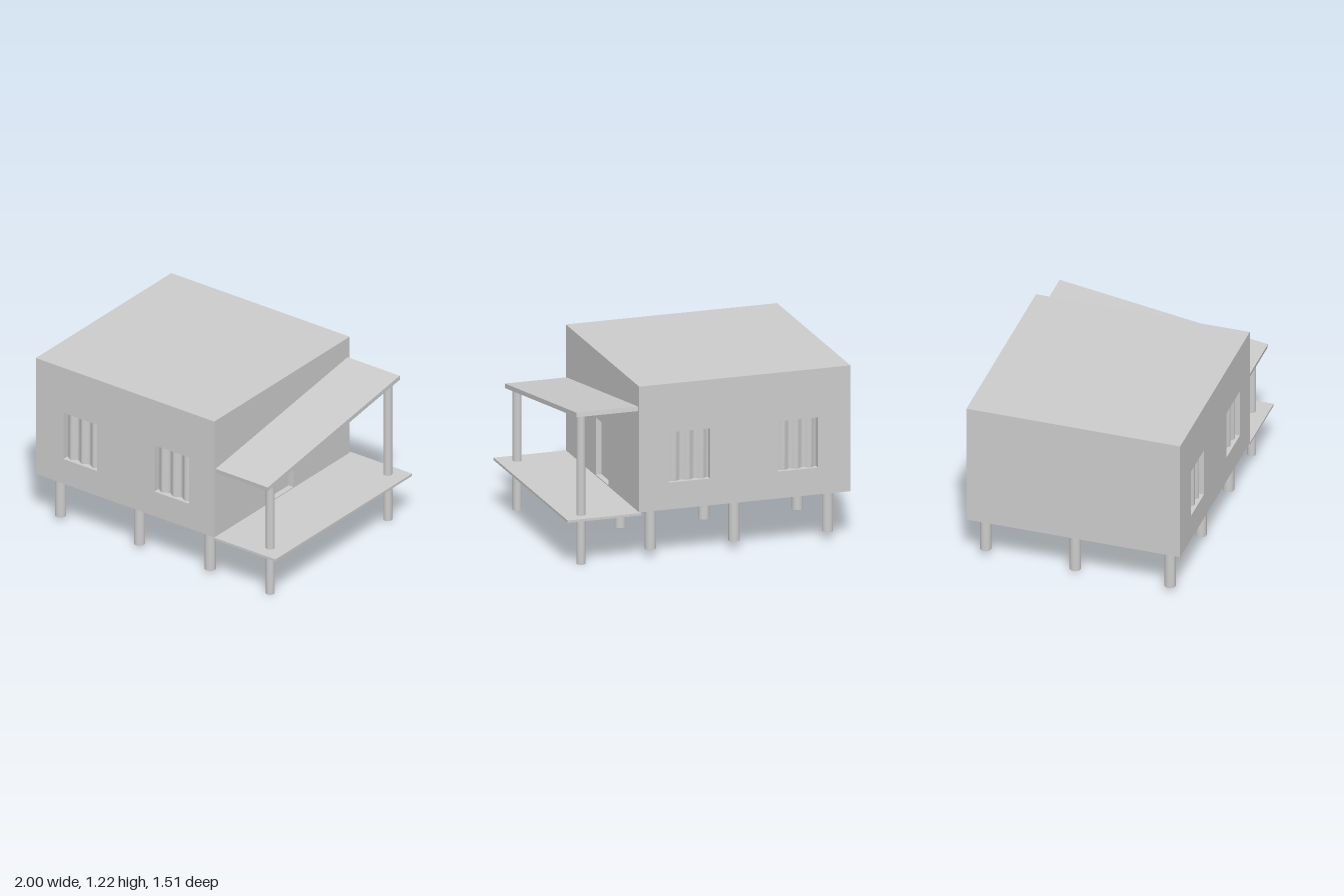
import * as THREE from 'three';

export function createModel() {
  const model = new THREE.Group();
  const grey = new THREE.MeshStandardMaterial({ color: 0xcccccc });
  const cloth = new THREE.MeshStandardMaterial({ color: 0xcccccc, side: THREE.DoubleSide });

  function add(name, geometry, x = 0, y = 0, z = 0, material = grey) {
    const mesh = new THREE.Mesh(geometry, material);
    mesh.name = name;
    mesh.position.set(x, y, z);
    model.add(mesh);
    return mesh;
  }
  // Box given by its lower and upper limits
  const block = (name, x0, x1, y0, y1, z0, z1) =>
    add(name, new THREE.BoxGeometry(x1 - x0, y1 - y0, z1 - z0), (x0 + x1) / 2, (y0 + y1) / 2, (z0 + z1) / 2);
  // Upright round post
  const post = (name, x, z, r, y0, y1) =>
    add(name, new THREE.CylinderGeometry(r, r, y1 - y0, 24), x, (y0 + y1) / 2, z);
  // Rectangle outline for walls and openings
  function rect(Type, x0, x1, y0, y1) {
    const s = new Type();
    s.moveTo(x0, y0);
    s.lineTo(x1, y0);
    s.lineTo(x1, y1);
    s.lineTo(x0, y1);
    s.closePath();
    return s;
  }
  function wall(x0, x1, y0, y1, openings, depth) {
    const s = rect(THREE.Shape, x0, x1, y0, y1);
    for (const o of openings) s.holes.push(rect(THREE.Path, ...o));
    return new THREE.ExtrudeGeometry(s, { depth, bevelEnabled: false });
  }

  // House body: solid core behind pierced outer walls
  const L = -1, R = 0.49, floor = 0.343, top = 1.22, back = -0.745, front = 0.755, t = 0.05;
  const windows = [[-0.77, -0.49, 0.53, 0.88], [-0.01, 0.28, 0.53, 0.88]];
  block('houseCore', L, R - t, floor, top, back + t, front - t);
  add('frontWall', wall(L, R, floor, top, windows, t), 0, 0, front - t);
  add('backWall', wall(L, R, floor, top, windows, t), 0, 0, back);
  const doorWall = add('doorWall',
    wall(-(front - t), -(back + t), floor, top, [[-0.14, 0.12, 0.35, 0.75]], t), R - t);
  doorWall.rotation.y = Math.PI / 2;
  block('door', R - t, R - t + 0.01, 0.35, 0.75, -0.12, 0.14);

  // Wavy curtains set into the windows
  for (const [x0, x1, y0, y1] of windows) {
    for (const side of [1, -1]) {
      const w = x1 - x0;
      const g = new THREE.PlaneGeometry(w, y1 - y0, 48, 1);
      const p = g.attributes.position;
      for (let i = 0; i < p.count; i++) {
        p.setZ(i, 0.012 * Math.cos((p.getX(i) / w) * Math.PI * 6));
      }
      g.computeVertexNormals();
      const z = side > 0 ? front - 0.032 : back + 0.032;
      const curtain = add('curtain', g, (x0 + x1) / 2, (y0 + y1) / 2, z, cloth);
      if (side < 0) curtain.rotation.y = Math.PI;
    }
  }

  // Foundation piers, the back row slightly shorter
  for (const x of [-0.877, -0.217, 0.373]) {
    post('pier', x, 0.645, 0.038, 0.025, floor + 0.01);
    post('pier', x + 0.003, -0.022, 0.038, 0.025, floor + 0.01);
    post('pier', x + 0.007, -0.652, 0.038, 0.055, floor + 0.01);
  }

  // Porch deck, posts and sloping roof
  block('porchDeck', 0.48, 1, 0.325, 0.342, -0.76, 0.755);
  post('porchPost', 0.872, 0.643, 0.03, 0, 0.85);
  post('porchPost', 0.872, -0.66, 0.03, 0, 1.045);
  const slope = Math.atan2(0.22, 1.465);
  const roof = add('porchRoof', new THREE.BoxGeometry(0.435, 0.031, 1.478), 0.7075, 0.95, 0.007);
  roof.rotation.x = slope;

  return model;
}
